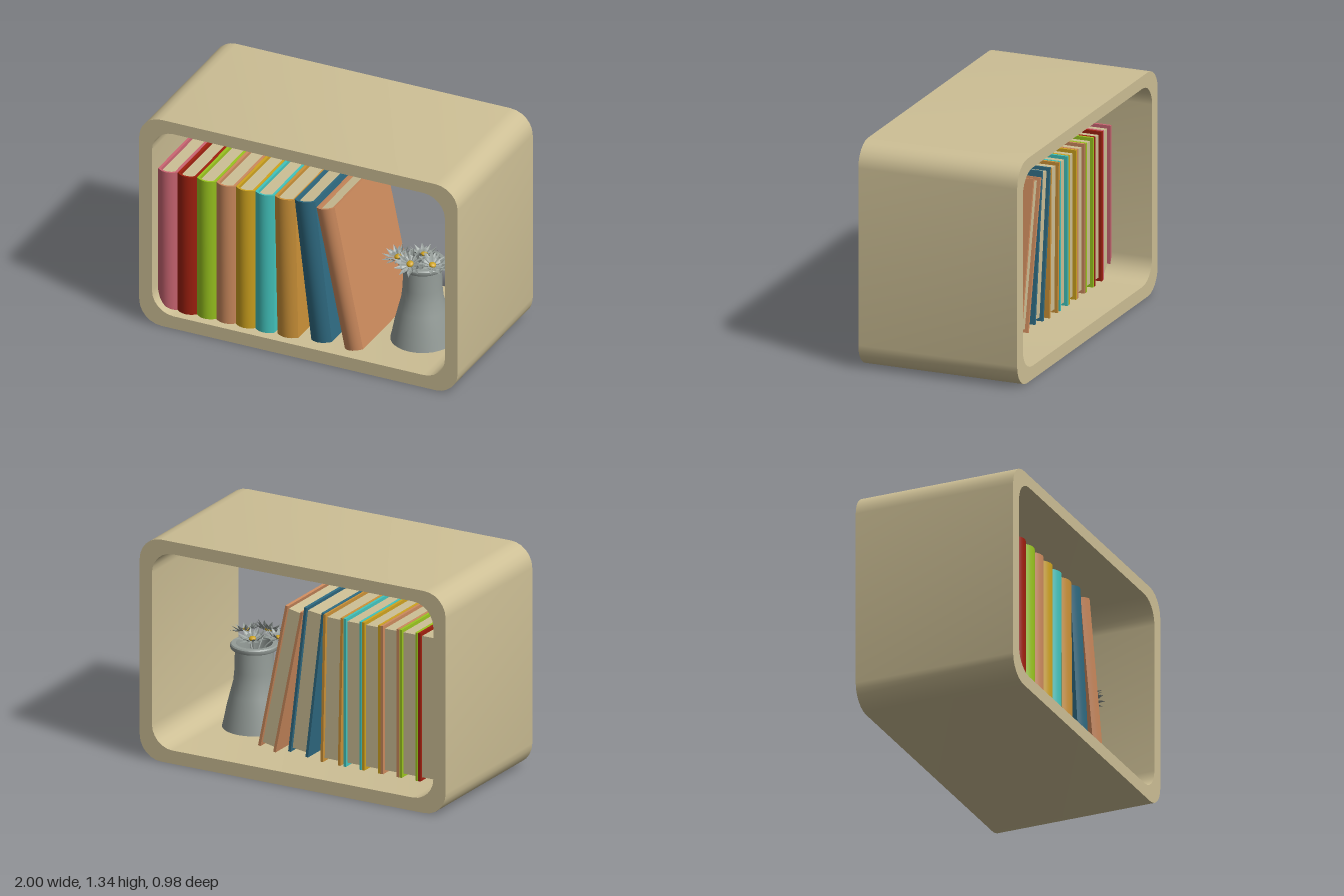
import * as THREE from 'three';
import { toCreasedNormals } from 'three/addons/utils/BufferGeometryUtils.js';

const mat = (name, color, side = THREE.FrontSide) => {
  const m = new THREE.MeshStandardMaterial({ color, side });
  m.name = name;
  return m;
};

function mesh(name, geometry, material, parent) {
  const m = new THREE.Mesh(geometry, material);
  m.name = name;
  parent.add(m);
  return m;
}

// Rounded rectangle outline
function roundedRect(path, x0, y0, x1, y1, r) {
  path.moveTo(x0 + r, y0);
  path.lineTo(x1 - r, y0);
  path.absarc(x1 - r, y0 + r, r, -Math.PI / 2, 0);
  path.lineTo(x1, y1 - r);
  path.absarc(x1 - r, y1 - r, r, 0, Math.PI / 2);
  path.lineTo(x0 + r, y1);
  path.absarc(x0 + r, y1 - r, r, Math.PI / 2, Math.PI);
  path.lineTo(x0, y0 + r);
  path.absarc(x0 + r, y0 + r, r, Math.PI, Math.PI * 1.5);
  return path;
}

// Open box frame with rounded corners
function shelfGeometry() {
  const shape = roundedRect(new THREE.Shape(), -1, 0, 1, 1.335, 0.14);
  shape.holes.push(roundedRect(new THREE.Path(), -0.92, 0.08, 0.92, 1.26, 0.135));
  const geo = new THREE.ExtrudeGeometry(shape, { depth: 0.98, bevelEnabled: false, curveSegments: 3 });
  geo.translate(0, 0, -0.49);
  return toCreasedNormals(geo, 0.7);
}

// Book standing on its lower left corner: wrapped cover with rounded spine, recessed pages
function makeBook(name, width, height, coverMat, pageMat) {
  const t = 0.016, front = 0.415, back = -0.24, lip = 0.02;
  const book = new THREE.Group();
  book.name = name;
  const s = new THREE.Shape();
  s.moveTo(0, -back);
  s.lineTo(0, -front);
  s.quadraticCurveTo(width / 2, -front - 0.05, width, -front);
  s.lineTo(width, -back);
  s.lineTo(width - t, -back);
  s.lineTo(width - t, -front + 0.005);
  s.quadraticCurveTo(width / 2, -front - 0.03, t, -front + 0.005);
  s.lineTo(t, -back);
  s.closePath();
  const geo = new THREE.ExtrudeGeometry(s, { depth: height, bevelEnabled: false, curveSegments: 8 });
  geo.rotateX(-Math.PI / 2);
  mesh('cover', toCreasedNormals(geo, 0.6), coverMat, book);
  const depth = front - back - lip + 0.005;
  const pages = mesh('pages', new THREE.BoxGeometry(width - 2 * t, height - 2 * lip, depth), pageMat, book);
  pages.position.set(width / 2, height / 2, back + lip + depth / 2);
  return book;
}

// Pointed, folded petal reaching along +x and curving upward
function petalGeometry(length, rise) {
  const w = 0.013, a = 0.012, m = a + length * 0.55, e = a + length;
  const p = [
    [a, 0, 0], [m, rise * 0.4, -w], [m, rise * 0.25, 0], [m, rise * 0.4, w], [e, rise, 0],
  ];
  const geo = new THREE.BufferGeometry();
  geo.setAttribute('position', new THREE.Float32BufferAttribute(p.flat(), 3));
  geo.setIndex([0, 2, 1, 0, 3, 2, 1, 2, 4, 2, 3, 4]);
  const flat = geo.toNonIndexed();
  flat.computeVertexNormals();
  return flat;
}

function makeFlower(petalMat, centreMat) {
  const flower = new THREE.Group();
  flower.name = 'flower';
  const layers = [petalGeometry(0.085, 0.02), petalGeometry(0.07, 0.042)];
  layers.forEach((geo, k) => {
    for (let i = 0; i < 10; i++) {
      const petal = mesh('petal', geo, petalMat, flower);
      petal.rotation.y = ((i + k * 0.5) / 10) * Math.PI * 2;
    }
  });
  const centre = mesh('flowerCentre', new THREE.SphereGeometry(0.021, 14, 8), centreMat, flower);
  centre.scale.y = 0.6;
  centre.position.y = 0.006;
  return flower;
}

export function createModel() {
  const model = new THREE.Group();
  model.name = 'bookShelf';
  const wood = mat('wood', 0xcdbf95);
  const grey = mat('stoneGrey', 0x949c98, THREE.DoubleSide);
  const pink = mat('pink', 0xcc6673);
  const red = mat('red', 0xa0200f);
  const green = mat('green', 0x9ac51f);
  const salmon = mat('salmon', 0xcc8a5d);
  const yellow = mat('yellow', 0xcfa31f);
  const teal = mat('teal', 0x43c4bd);
  const ochre = mat('ochre', 0xcc9238);
  const blue = mat('blue', 0x2f6b82);

  mesh('shelf', shelfGeometry(), wood, model);

  // Books: material, lower left x and y, width, lean in radians
  const books = [
    [pink, -0.918, 0.081, 0.12, 0],
    [red, -0.795, 0.081, 0.12, 0],
    [green, -0.673, 0.081, 0.12, 0],
    [salmon, -0.551, 0.081, 0.12, 0],
    [yellow, -0.429, 0.081, 0.12, 0],
    [teal, -0.307, 0.081, 0.12, 0],
    [ochre, -0.167, 0.081, 0.13, 0.02],
    [blue, 0.045, 0.093, 0.13, 0.118],
    [salmon, 0.256, 0.086, 0.117, 0.202],
  ];
  for (const [cover, x, y, width, lean] of books) {
    const book = makeBook(cover.name + 'Book', width, 0.89, cover, wood);
    book.position.set(x, y, 0);
    book.rotation.z = lean;
    model.add(book);
  }

  // Vase with flared base and a rim
  const vase = new THREE.Group();
  vase.name = 'vaseWithFlowers';
  vase.position.set(0.592, 0.081, 0.1);
  model.add(vase);
  const profile = [
    [0, 0], [0.183, 0], [0.172, 0.05], [0.158, 0.12], [0.138, 0.2], [0.12, 0.27], [0.113, 0.34],
    [0.11, 0.464], [0.132, 0.468], [0.137, 0.476], [0.137, 0.492], [0.131, 0.499],
    [0.105, 0.499], [0.1, 0.46], [0.1, 0.35], [0, 0.35],
  ].map(([r, y]) => new THREE.Vector2(r, y));
  mesh('vase', toCreasedNormals(new THREE.LatheGeometry(profile, 32), 0.6), grey, vase);

  // Flowers: position in the vase and facing direction
  const flowers = [
    [0, 0.525, -0.02, 0, 1, -0.15],
    [-0.015, 0.535, 0.13, 0, 1, 0.65],
    [0.1, 0.53, 0.08, 0.3, 1, 0.15],
    [-0.12, 0.525, 0.07, -0.2, 1, 0.15],
  ];
  for (const [x, y, z, dx, dy, dz] of flowers) {
    const flower = makeFlower(grey, yellow);
    flower.position.set(x, y, z);
    flower.quaternion.setFromUnitVectors(new THREE.Vector3(0, 1, 0), new THREE.Vector3(dx, dy, dz).normalize());
    vase.add(flower);
    const stem = new THREE.QuadraticBezierCurve3(
      new THREE.Vector3(0, 0.35, 0), new THREE.Vector3(x * 0.4, 0.52, z * 0.4), new THREE.Vector3(x, y, z));
    mesh('stem', new THREE.TubeGeometry(stem, 6, 0.005, 6), grey, vase);
  }
  return model;
}
